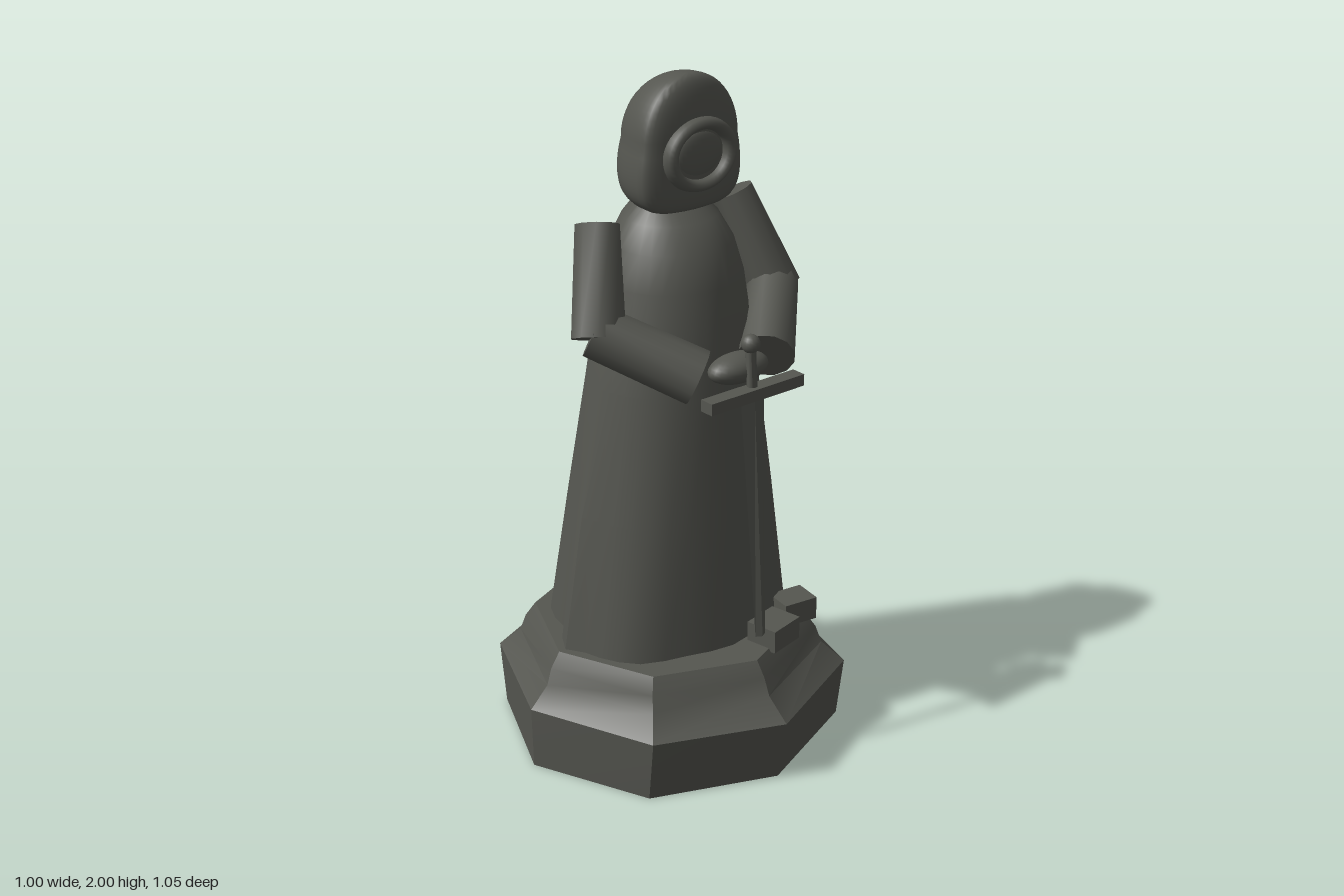
import * as THREE from 'three';
import { toCreasedNormals } from 'three/addons/utils/BufferGeometryUtils.js';

const stone = new THREE.MeshStandardMaterial({ name: 'darkStone', color: 0x555650 });
const CX = 0.02; // statue axis

// Skin a stack of closed rings (counter-clockwise seen from above), bottom to top, and cap both ends
function loft(rings, crease) {
  const n = rings[0].length, pos = [], idx = [];
  for (const ring of rings) for (const p of ring) pos.push(...p);
  for (let j = 0; j < rings.length - 1; j++) {
    for (let i = 0; i < n; i++) {
      const a = j * n + i, b = j * n + (i + 1) % n;
      idx.push(a, b, b + n, a, b + n, a + n);
    }
  }
  [rings[0], rings[rings.length - 1]].forEach((ring, top) => {
    const c = pos.length / 3, off = top ? (rings.length - 1) * n : 0;
    pos.push(...[0, 1, 2].map(k => ring.reduce((s, p) => s + p[k], 0) / n));
    for (let i = 0; i < n; i++) {
      const a = off + i, b = off + (i + 1) % n;
      if (top) idx.push(c, a, b); else idx.push(c, b, a);
    }
  });
  const g = new THREE.BufferGeometry();
  g.setAttribute('position', new THREE.Float32BufferAttribute(pos, 3));
  g.setIndex(idx);
  return toCreasedNormals(g, crease);
}

export function createModel() {
  const model = new THREE.Group();
  model.name = 'hoodedStatue';
  const add = (name, geometry, x = 0, y = 0, z = 0) => {
    const m = new THREE.Mesh(geometry, stone);
    m.name = name;
    m.position.set(x, y, z);
    model.add(m);
    return m;
  };
  // Cylinder between two points
  const limb = (name, from, to, r0, r1, sides) => {
    const a = new THREE.Vector3(...from), b = new THREE.Vector3(...to);
    const d = b.clone().sub(a);
    const g = toCreasedNormals(new THREE.CylinderGeometry(r1, r0, d.length(), sides), 0.8);
    const m = add(name, g, ...a.add(b).multiplyScalar(0.5).toArray());
    m.quaternion.setFromUnitVectors(new THREE.Vector3(0, 1, 0), d.normalize());
  };

  // Rough eight-sided plinth with a sloping shoulder
  const corners = [[0.02, 0.525], [0.395, 0.37], [0.5, 0], [0.365, -0.34],
    [0.02, -0.525], [-0.35, -0.37], [-0.5, 0], [-0.345, 0.37]];
  const tiers = [[0, 0.99, 0.94], [0.19, 1, 1], [0.25, 0.88, 0.86], [0.3, 0.85, 0.82], [0.345, 0.79, 0.76]];
  add('plinth', loft(tiers.map(([y, sx, sz]) => corners.map(([x, z]) => [x * sx, y, z * sz])), 0.5));

  // Robe: height, half width, front depth, back depth; folds deepen towards the hem
  const sections = [[0.33, 0.395, 0.29, 0.325], [0.75, 0.325, 0.265, 0.27], [1.13, 0.26, 0.235, 0.215],
    [1.42, 0.208, 0.205, 0.178], [1.52, 0.178, 0.175, 0.162], [1.59, 0.14, 0.125, 0.135], [1.645, 0.085, 0.05, 0.1]];
  add('robe', loft(sections.map(([y, w, front, back]) => {
    const fold = Math.max(0, (1.3 - y) / 0.97);
    return Array.from({ length: 32 }, (_, i) => {
      const t = i / 32 * Math.PI * 2, s = Math.sin(t), c = Math.cos(t);
      const k = 1 - (c > 0.3 ? 0.025 : 0.065) * fold * (1 - Math.cos(8 * t));
      return [CX + w * s * k, y, (c > 0 ? front : back) * c * k];
    });
  }), 0.6));

  // Hood: an egg, full at the jaw and flattened at the front
  const hood = new THREE.SphereGeometry(1, 40, 28);
  const p = hood.attributes.position;
  for (let i = 0; i < p.count; i++) {
    const x = p.getX(i), y = p.getY(i), z = p.getZ(i);
    const rho = Math.max(Math.hypot(x, z), 1e-6);
    const swell = (y < 0 ? Math.pow(rho, 0.4) * (1 - 0.25 * y) : rho) / rho;
    const d = z * swell;
    p.setXYZ(i, x * swell * 0.165, y * 0.187, d > 0 ? 0.055 * Math.pow(d, 0.6) : 0.2 * d);
  }
  add('hood', toCreasedNormals(hood, 0.9), CX, 1.813, 0.07);

  // Oval face opening
  const rim = add('faceRim', new THREE.TorusGeometry(0.103, 0.021, 10, 40), CX, 1.785, 0.124);
  rim.scale.set(1, 0.83, 1.2);
  const face = add('face', new THREE.SphereGeometry(0.08, 28, 14), CX, 1.785, 0.118);
  face.scale.set(1, 0.83, 0.22);

  // Arms bent forward to the hilt
  for (const side of [-1, 1]) {
    const tag = side > 0 ? 'left' : 'right';
    const at = (x, y, z) => [CX + side * x, y, z];
    limb(tag + 'UpperArm', at(0.24, 1.6, -0.02), at(0.32, 1.32, 0.085), 0.064, 0.078, 10);
    limb(tag + 'Forearm', at(0.325, 1.34, 0.07), at(0.125, 1.215, 0.27), 0.075, 0.08, 12);
  }
  const hands = add('claspedHands', new THREE.SphereGeometry(1, 24, 16), CX, 1.22, 0.292);
  hands.scale.set(0.1, 0.042, 0.055);

  // Sword resting point down
  add('pommel', new THREE.SphereGeometry(0.027, 16, 12), CX, 1.305, 0.342);
  limb('grip', [CX, 1.16, 0.352], [CX, 1.3, 0.342], 0.015, 0.015, 10);
  add('crossguard', new THREE.BoxGeometry(0.335, 0.034, 0.045), CX, 1.166, 0.356);
  const bladeRing = (y, w, z) => [[CX, y, z + 0.01], [CX + w, y, z], [CX, y, z - 0.01], [CX - w, y, z]];
  add('blade', loft([bladeRing(0.43, 0.018, 0.405), bladeRing(1.16, 0.042, 0.352)], 0.2));

  // Loose stones on the plinth
  [[0.14, 0.33, 0.12, 0.1, 0.2], [0.28, 0.26, 0.11, 0.09, -0.15], [0.36, -0.19, 0.1, 0.09, 0.12]].forEach(([x, z, w, d, turn], i) => {
    add('rubble' + (i + 1), new THREE.BoxGeometry(w, 0.07, d), x, 0.37, z).rotation.y = turn;
  });
  return model;
}
